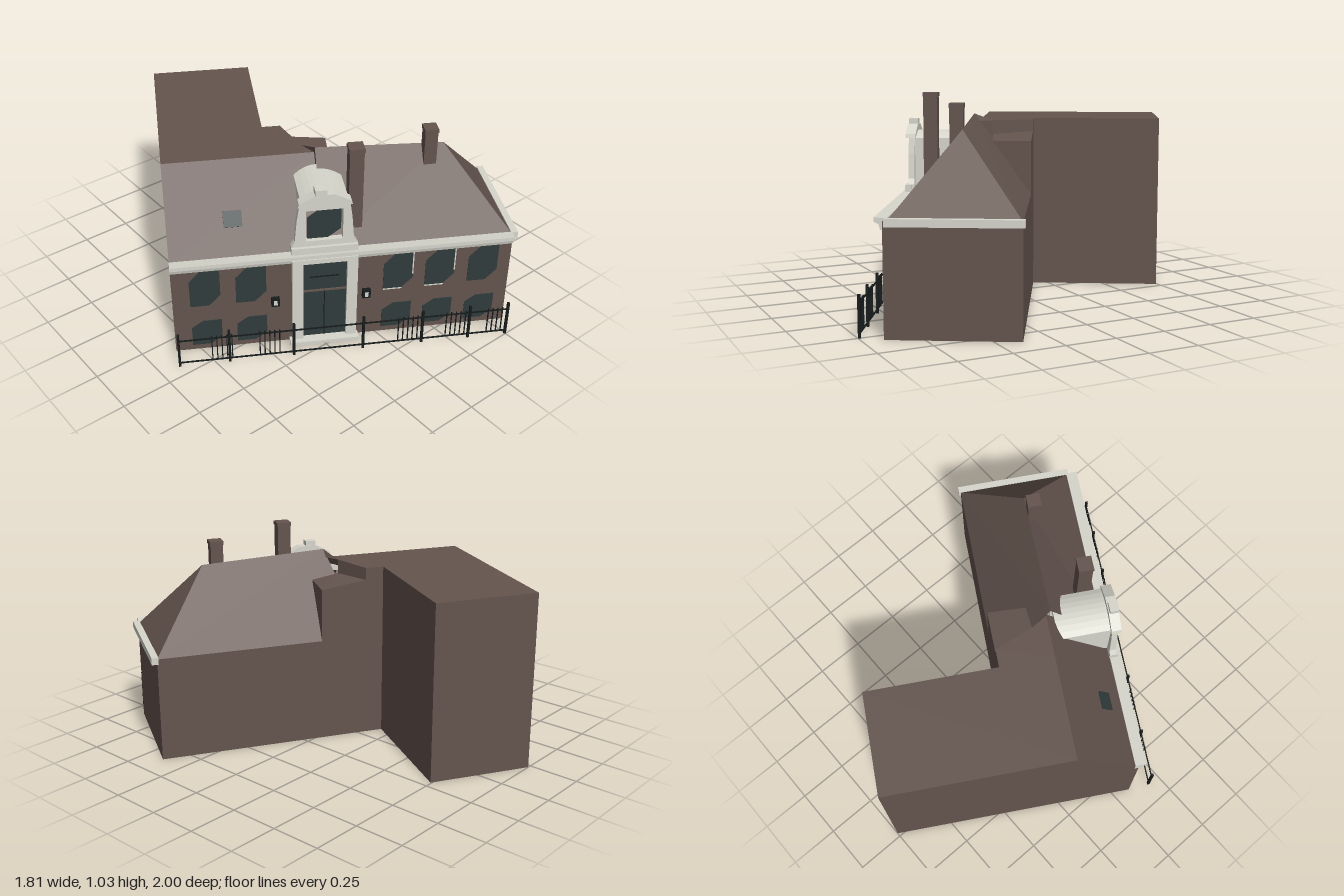
import * as THREE from 'three';

const mat = (name, color, side = THREE.FrontSide) => {
  const m = new THREE.MeshStandardMaterial({ color, side });
  m.name = name;
  return m;
};

export function createModel() {
  const root = new THREE.Group();
  root.name = 'townHouse';
  // The house is laid out square in its own frame, then turned 30 degrees
  const house = new THREE.Group();
  house.name = 'house';
  house.rotation.y = -Math.PI / 6;
  root.add(house);

  const brick = mat('brick brown', 0x64544e, THREE.DoubleSide);
  const cream = mat('cream trim', 0xd6d6cc, THREE.DoubleSide);
  const glass = mat('dark glass', 0x303c3c, THREE.DoubleSide);
  const iron = mat('black iron', 0x161b1b);

  const add = (name, geo, m) => {
    const mesh = new THREE.Mesh(geo, m);
    mesh.name = name;
    house.add(mesh);
    return mesh;
  };
  const box = (name, m, x0, x1, y0, y1, z0, z1) => {
    const g = new THREE.BoxGeometry(x1 - x0, y1 - y0, z1 - z0);
    g.translate((x0 + x1) / 2, (y0 + y1) / 2, (z0 + z1) / 2);
    return add(name, g, m);
  };
  // Flat convex face, corners counter-clockwise seen from outside
  const face = (name, m, ...p) => {
    const pos = [];
    for (let i = 1; i < p.length - 1; i++) pos.push(...p[0], ...p[i], ...p[i + 1]);
    const g = new THREE.BufferGeometry();
    g.setAttribute('position', new THREE.Float32BufferAttribute(pos, 3));
    g.computeVertexNormals();
    return add(name, g, m);
  };
  const shapeOf = (pts) => new THREE.Shape(pts.map(([x, y]) => new THREE.Vector2(x, y)));
  const slab = (name, m, shape, z0, z1) => {
    const g = new THREE.ExtrudeGeometry(shape, { depth: z1 - z0, bevelEnabled: false, curveSegments: 8 });
    g.translate(0, 0, z0);
    return add(name, g, m);
  };

  // Plan: long front range with a deep rear wing on its right-hand side
  const L = -0.7, R = 0.95, F = 0.5, B = -0.1, W = -0.19, K = -0.75;
  const E = 0.52, T = 0.876;
  const ridgeEnd = [0.66, 0.885, 0.185], peak = [0.03, 0.914, 0.19];
  const valley = [-0.02, T, 0.1], notch = [-0.1, T, B];

  // Walls
  face('frontWall', brick, [L, 0, F], [R, 0, F], [R, E, F], [L, E, F]);
  face('endWall', brick, [R, 0, F], [R, 0, B], [R, E, B], [R, E, F]);
  face('backWall', brick, [R, 0, B], [W, 0, B], [W, E, B], [R, E, B]);
  face('upperBackWall', brick, [-0.1, E, B], [W, E, B], [W, T, B], notch);
  face('wingInnerWall', brick, [W, 0, B], [W, 0, K], [W, T, K], [W, T, B]);
  face('wingEndWall', brick, [W, 0, K], [L, 0, K], [L, T, K], [W, T, K]);
  face('longSideWall', brick, [L, 0, K], [L, 0, F], [L, E, F], [L, E, 0.48], [L, T, 0.17], [L, T, K]);

  // Roofs
  face('frontRoofFlatSide', brick, [L, E, 0.48], [0.03, E, 0.48], [0.03, T, 0.17], [L, T, 0.17]);
  face('frontRoof', brick, [0.03, E, 0.48], [R, E, 0.48], ridgeEnd, peak);
  face('hipRoof', brick, [R, E, 0.48], [R, E, B], ridgeEnd);
  face('backRoof', brick, [R, E, B], [-0.1, E, B], peak, ridgeEnd);
  face('flatRoofWing', brick, [L, T, 0.17], [W, T, 0.17], [W, T, K], [L, T, K]);
  face('flatRoofLink', brick, [W, T, 0.17], [0.03, T, 0.17], valley, notch, [W, T, B]);
  face('roofStep', brick, [0.03, T, 0.17], peak, valley);
  face('linkSide', brick, notch, valley, [-0.02, 0.79, 0.1], [-0.1, 0.81, B]);

  // Rear lean-to
  face('leanToTop', brick, [0.13, 0.785, B], [-0.1, 0.815, B], [-0.02, 0.805, 0.1], [0.12, 0.785, 0.09]);
  face('leanToBack', brick, [0.13, E, B], [-0.1, E, B], [-0.1, 0.815, B], [0.13, 0.785, B]);
  face('leanToSide', brick, [0.13, E, B], [0.13, 0.785, B], [0.12, 0.785, 0.09]);

  // Moulded front cornice and plain end cornice
  const profile = [[-0.48, 0.48], [-0.48, 0.53], [-0.535, 0.535], [-0.535, 0.515], [-0.515, 0.505], [-0.508, 0.48]];
  slab('frontCornice', cream, shapeOf(profile), L, R).geometry.rotateY(Math.PI / 2);
  box('endCornice', cream, R - 0.005, 0.978, 0.497, 0.532, -0.11, 0.49);

  // Chimneys
  const chimney = (x, z, y0, y1, w) => {
    box('chimney', brick, x - w / 2, x + w / 2, y0, y1 - 0.02, z - w / 2, z + w / 2);
    box('chimneyCap', brick, x - w / 2 - 0.003, x + w / 2 + 0.003, y1 - 0.02, y1, z - w / 2 - 0.003, z + w / 2 + 0.003);
  };
  chimney(0.189, 0.387, 0.56, 1.027, 0.068);
  chimney(0.582, 0.218, 0.78, 0.997, 0.062);

  // Windows with two clipped corners, showing on both faces of the wall
  const pane = (x, y0, y1, w, z) => {
    const h = w / 2, c = w * 0.38, d = (y1 - y0) * 0.28;
    slab('window', glass, shapeOf([
      [x - h, y0], [x + h - c, y0], [x + h, y0 + d], [x + h, y1], [x - h + c, y1], [x - h, y1 - d],
    ]), z - 0.004, z + 0.004);
  };
  for (const x of [-0.543, -0.323, 0.393, 0.6, 0.814]) {
    pane(x, 0.27, 0.475, 0.146, F);
    pane(x, 0.03, 0.175, 0.146, F);
  }
  for (const x of [0.393, 0.6]) {
    box('windowFrame', cream, x + 0.068, x + 0.074, 0.35, 0.475, F, F + 0.006);
    box('windowSill', cream, x - 0.073, x + 0.02, 0.265, 0.271, F, F + 0.006);
  }

  // Doorway: dark leaves, transom, pilasters and step
  box('door', glass, -0.076, 0.14, 0.02, 0.48, F - 0.004, F + 0.004);
  box('doorTransom', brick, -0.076, 0.14, 0.3, 0.308, F, F + 0.012);
  box('doorMeetingRail', iron, 0.029, 0.033, 0.02, 0.3, F, F + 0.008);
  box('transomBar', iron, -0.04, 0.1, 0.383, 0.388, F, F + 0.008);
  for (const [x0, x1] of [[-0.127, -0.074], [0.138, 0.19]])
    box('pilaster', cream, x0, x1, 0.01, 0.5, F - 0.004, F + 0.022);
  box('doorLintel', cream, -0.127, 0.19, 0.475, 0.5, F, F + 0.022);
  box('doorStep', cream, -0.14, 0.2, 0, 0.018, F, F + 0.05);

  // Dormer: scrolled stone front, window, pediment and rounded roof
  const front = shapeOf([
    [-0.13, 0.535], [0.185, 0.535], [0.185, 0.572], [0.168, 0.6], [0.158, 0.72],
    [0.145, 0.81], [-0.09, 0.81], [-0.103, 0.72], [-0.113, 0.6], [-0.13, 0.572],
  ]);
  front.holes.push(new THREE.Path([[-0.06, 0.6], [-0.06, 0.77], [0.115, 0.77], [0.115, 0.6]]
    .map(([x, y]) => new THREE.Vector2(x, y))));
  slab('dormerFront', cream, front, 0.475, 0.505);
  pane(0.028, 0.605, 0.765, 0.16, 0.487);
  slab('dormerPediment', cream, shapeOf([[-0.1, 0.8], [0.155, 0.8], [0.15, 0.82], [0.07, 0.862], [-0.015, 0.862], [-0.095, 0.82]]), 0.47, 0.52);
  box('dormerSill', cream, -0.13, 0.187, 0.535, 0.57, 0.49, 0.52);
  box('finial', cream, -0.02, 0.035, 0.85, 0.887, 0.475, 0.52);
  for (const x of [-0.07, 0.135]) box('dormerCheek', cream, x - 0.005, x + 0.005, 0.54, 0.8, 0.22, 0.475);
  const arch = shapeOf([[-0.08, 0.79], [0.145, 0.79], [0.145, 0.8]]);
  arch.quadraticCurveTo(0.033, 0.865, -0.08, 0.8);
  slab('dormerRoof', cream, arch, 0.21, 0.475);

  // Skylight raised above the roof slope
  const sky = add('skylight', new THREE.BoxGeometry(0.088, 0.008, 0.078), glass);
  sky.position.set(-0.389, 0.68, 0.386);
  sky.rotation.x = Math.atan2(T - E, 0.31);

  // Lanterns beside the door
  for (const x of [-0.208, 0.237]) {
    box('lantern', iron, x - 0.02, x + 0.02, 0.237, 0.283, F, F + 0.022);
    box('lanternPane', cream, x - 0.009, x + 0.009, 0.247, 0.273, F + 0.018, F + 0.025);
  }

  // Iron fence with posts, two rails and clusters of bars
  const fz = 0.61;
  for (const y of [0.02, 0.155]) box('fenceRail', iron, -0.687, 0.935, y - 0.003, y + 0.003, fz - 0.003, fz + 0.003);
  for (const x of [-0.687, -0.445, -0.133, 0.208, 0.502, 0.739, 0.93])
    box('fencePost', iron, x - 0.006, x + 0.006, 0, 0.195, fz - 0.006, fz + 0.006);
  for (const x of [-0.48, -0.25, 0.43, 0.67, 0.88])
    for (let i = -2; i <= 2; i++)
      box('fenceBar', iron, x + i * 0.024 - 0.0025, x + i * 0.024 + 0.0025, 0.02, 0.168, fz - 0.0025, fz + 0.0025);

  return root;
}
